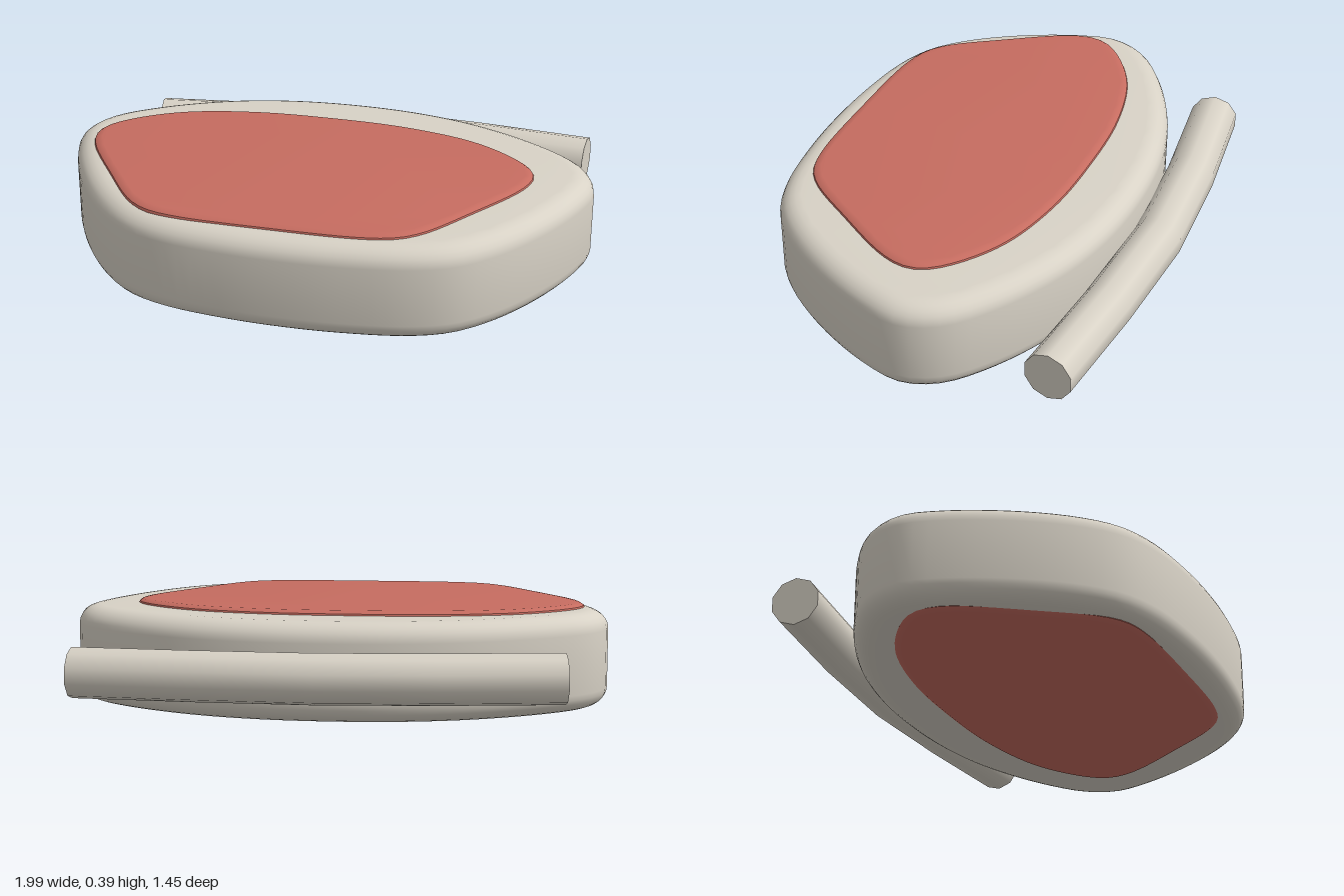
import * as THREE from 'three';
import { toCreasedNormals } from 'three/addons/utils/BufferGeometryUtils.js';

const shell = new THREE.MeshStandardMaterial({ color: 0xd8d2c6 });
shell.name = 'warm grey';
const red = new THREE.MeshStandardMaterial({ color: 0xc66c60 });
red.name = 'muted red';

// Half outline as [x, z] from back to front, mirrored into a smooth closed slab with rounded rims
function slab(half, y0, y1, bevelSize, bevelThickness, bevelSegments) {
  const mirrored = half.slice(1, -1).reverse().map(([x, z]) => [-x, z]);
  const points = [...half, ...mirrored].map(([x, z]) => new THREE.Vector3(x, -z, 0));
  const curve = new THREE.CatmullRomCurve3(points, true);
  const outline = curve.getSpacedPoints(96).slice(0, -1).map(p => new THREE.Vector2(p.x, p.y));
  const geometry = new THREE.ExtrudeGeometry(new THREE.Shape(outline), {
    depth: y1 - y0 - 2 * bevelThickness,
    bevelSize, bevelThickness, bevelSegments, bevelOffset: -bevelSize,
  });
  geometry.rotateX(-Math.PI / 2);
  geometry.translate(0, y0 + bevelThickness, 0);
  return toCreasedNormals(geometry, 0.6);
}

// Flat disc closing one end of a tube, facing along the given direction
function endCap(ring, centre, direction) {
  const positions = [];
  for (let i = 0; i < ring.length; i++) {
    let a = ring[i], b = ring[(i + 1) % ring.length];
    const normal = a.clone().sub(centre).cross(b.clone().sub(centre));
    if (normal.dot(direction) < 0) [a, b] = [b, a];
    positions.push(...centre.toArray(), ...a.toArray(), ...b.toArray());
  }
  const geometry = new THREE.BufferGeometry();
  geometry.setAttribute('position', new THREE.Float32BufferAttribute(positions, 3));
  geometry.computeVertexNormals();
  return geometry;
}

export function createModel() {
  const group = new THREE.Group();
  const add = (name, geometry, material) => {
    const mesh = new THREE.Mesh(geometry, material);
    mesh.name = name;
    group.add(mesh);
    return mesh;
  };

  // Rounded housing
  add('housing', slab([
    [0, -0.55], [0.27, -0.53], [0.52, -0.465], [0.78, -0.335], [0.94, -0.2], [0.995, -0.06],
    [0.96, 0.1], [0.85, 0.33], [0.72, 0.51], [0.6, 0.615], [0.45, 0.675], [0.22, 0.71], [0, 0.72],
  ], 0.01, 0.37, 0.08, 0.07, 6), shell);

  // Red core, slightly proud of the housing on top and underneath
  const core = add('redPanel', slab([
    [0, -0.33], [0.3, -0.315], [0.57, -0.25], [0.74, -0.15], [0.825, -0.06], [0.845, 0.01],
    [0.82, 0.11], [0.67, 0.35], [0.54, 0.53], [0.46, 0.59], [0.34, 0.62], [0, 0.63],
  ], 0, 0.386, 0.03, 0.02, 3), red);
  core.position.x = -0.065;

  // Bowed rod behind the housing
  const sides = 10, segments = 4;
  const path = new THREE.CatmullRomCurve3([
    [-0.832, -0.55], [-0.4, -0.609], [0, -0.64], [0.4, -0.625], [0.906, -0.582],
  ].map(([x, z]) => new THREE.Vector3(x, 0.19, z)));
  const rod = new THREE.TubeGeometry(path, segments, 0.092, sides);
  add('rod', rod, shell);

  // Rod ends
  for (const end of [0, 1]) {
    const start = end * segments * (sides + 1);
    const ring = Array.from({ length: sides }, (_, i) =>
      new THREE.Vector3().fromBufferAttribute(rod.attributes.position, start + i));
    const direction = path.getTangentAt(end).multiplyScalar(end ? 1 : -1);
    add(end ? 'rodEndLeft' : 'rodEndRight', endCap(ring, path.getPointAt(end), direction), shell);
  }
  return group;
}
